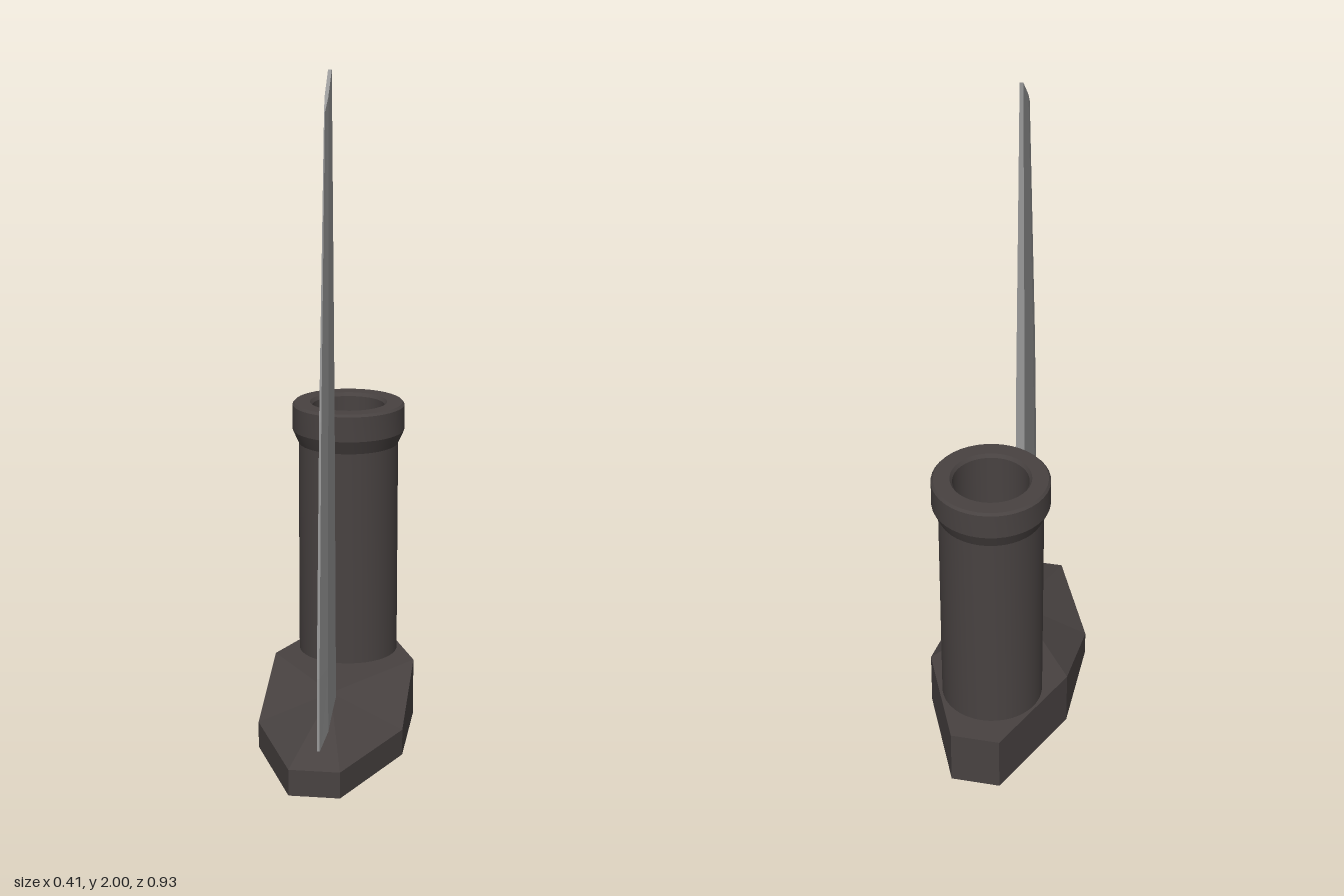
import * as THREE from 'three';
import { toCreasedNormals } from 'three/addons/utils/BufferGeometryUtils.js';

// Skin stacked rings of [x, y, z] (counterclockwise from above), with fan caps.
function loft(rings, topCentre) {
  const pos = [];
  const tri = (a, b, c) => {
    const [p, q, r] = [a, b, c].map((v) => new THREE.Vector3(...v));
    if (q.clone().sub(p).cross(r.clone().sub(p)).length() > 1e-8) pos.push(...a, ...b, ...c);
  };
  const n = rings[0].length;
  const last = rings[rings.length - 1];
  for (let i = 0; i < n; i++) {
    const j = (i + 1) % n;
    for (let k = 0; k < rings.length - 1; k++) {
      tri(rings[k][i], rings[k][j], rings[k + 1][j]);
      tri(rings[k][i], rings[k + 1][j], rings[k + 1][i]);
    }
    tri(rings[0][j], rings[0][i], rings[0][0]);
    tri(last[i], last[j], topCentre || last[0]);
  }
  const g = new THREE.BufferGeometry();
  g.setAttribute('position', new THREE.Float32BufferAttribute(pos, 3));
  g.computeVertexNormals();
  return g;
}

export function createModel() {
  const model = new THREE.Group();
  const darkMetal = new THREE.MeshStandardMaterial({ color: 0x484241, name: 'darkMetal' });
  const steel = new THREE.MeshStandardMaterial({ color: 0x989898, name: 'steel' });
  const add = (name, geometry, material) => {
    const mesh = new THREE.Mesh(geometry, material);
    mesh.name = name;
    model.add(mesh);
  };

  // Faceted base: keel, straight sides, and a top that slopes down to the front
  const outline = [
    [0.07, 0.465], [0.205, 0.153], [0.205, -0.153], [0.07, -0.465],
    [-0.07, -0.465], [-0.205, -0.153], [-0.205, 0.153], [-0.07, 0.465],
  ];
  add('base', loft([
    outline.map(([x, z]) => [Math.sign(x) * 0.063, 0, Math.sign(z) * 0.15]),
    outline.map(([x, z]) => [x, 0.092, z]),
    outline.map(([x, z]) => [x, z > 0 ? 0.167 : 0.26, z]),
  ], [0, 0.26, 0.135]), darkMetal);

  // Hollow socket with a flared collar
  const profile = [
    [0.145, 0.25], [0.145, 0.895], [0.163, 0.935], [0.163, 1.008], [0.157, 1.015],
    [0.112, 1.015], [0.105, 1.005], [0.105, 0.27], [0, 0.27],
  ].map(([r, y]) => new THREE.Vector2(r, y));
  const socket = toCreasedNormals(new THREE.LatheGeometry(profile, 40), 0.4);
  socket.translate(0, 0, -0.24);
  add('socket', socket, darkMetal);

  // Tapered blade: flat spine at the back, bevelled cutting edge at the front
  const spine = 0.145;
  const section = (y, front, w, rise = 0) => {
    const ridge = spine + (front - spine) * 0.65;
    const at = (x, z) => [x, y + rise * (front - z) / (front - spine), z];
    const e = w * 0.25;
    return [at(e, front), at(w, ridge), at(w, spine), at(-w, spine), at(-w, ridge), at(-e, front)];
  };
  add('blade', loft([
    section(0.15, 0.386, 0.016),
    section(0.4, 0.385, 0.015),
    section(1.1, 0.336, 0.012),
    section(1.9, 0.247, 0.005, 0.1),
  ]), steel);

  return model;
}
